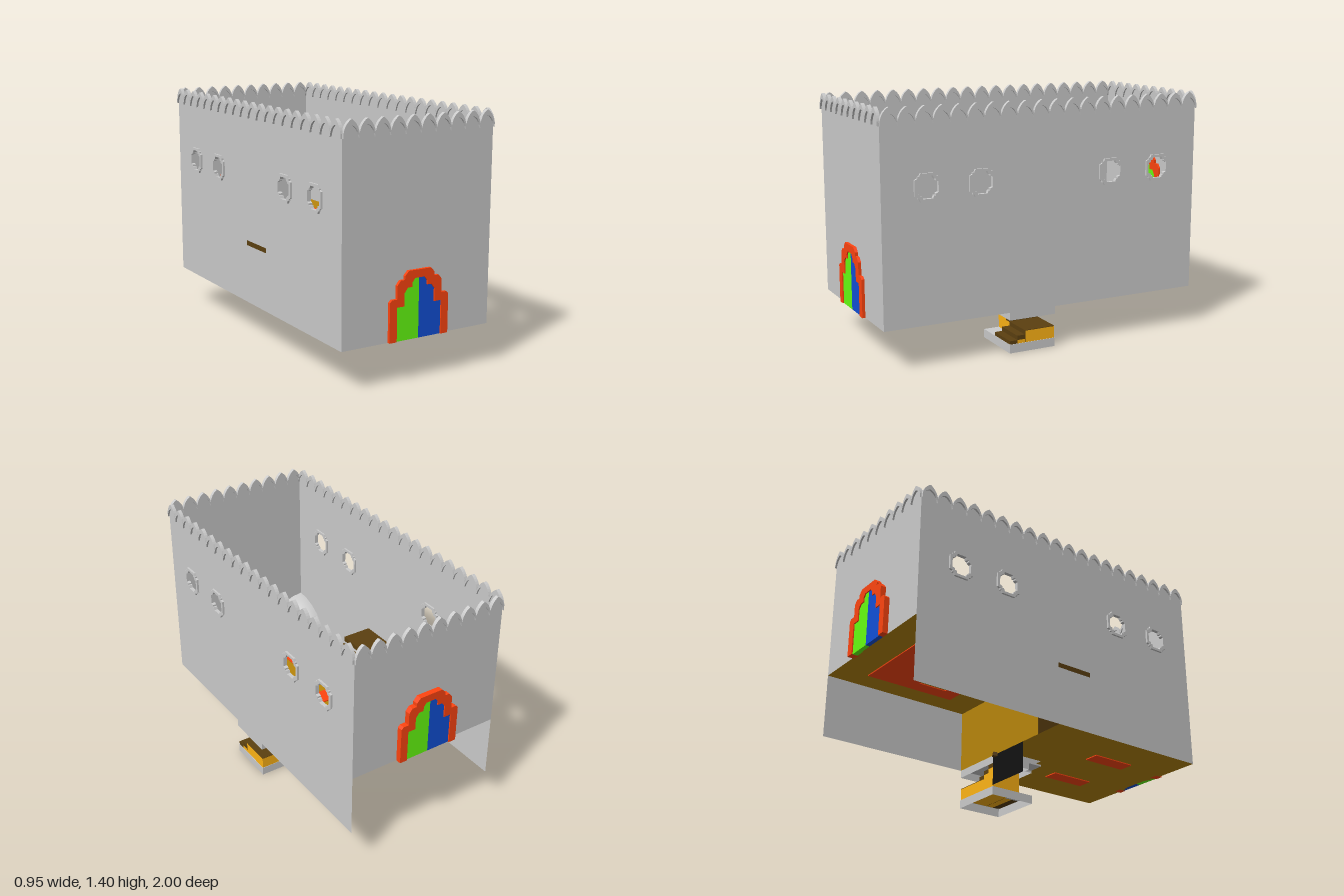
import * as THREE from 'three';

const mat = (color) => new THREE.MeshStandardMaterial({ color, side: THREE.DoubleSide });
const GREY = mat(0xcccccc), RED = mat(0xff4510), GREEN = mat(0x66ff11), BLUE = mat(0x1150d8);
const FLOOR = mat(0xb8860b), AMBER = mat(0xffb415), WOOD = mat(0x5c4010), BLACK = mat(0x111111);

// Main dimensions
const X = 0.465, ZF = 0.983, ZB = -0.968, LOW = 0.235, HIGH = 0.605, TOP = 1.335, SPLIT = -0.04;

export function createModel() {
  const model = new THREE.Group();

  const add = (name, geometry, material, parent = model) => {
    const mesh = new THREE.Mesh(geometry, material);
    mesh.name = name;
    parent.add(mesh);
    return mesh;
  };
  // Box given by its limits on each axis
  const box = (name, material, x0, x1, y0, y1, z0, z1, parent = model) => {
    const mesh = add(name, new THREE.BoxGeometry(x1 - x0, y1 - y0, z1 - z0), material, parent);
    mesh.position.set((x0 + x1) / 2, (y0 + y1) / 2, (z0 + z1) / 2);
    return mesh;
  };
  const shapeOf = (points) => new THREE.Shape(points.map(([x, y]) => new THREE.Vector2(x, y)));
  const extrude = (shape, depth) => new THREE.ExtrudeGeometry(shape, { depth, bevelEnabled: false, curveSegments: 6 });
  const rect = (x0, x1, y0, y1) => [[x0, y0], [x1, y0], [x1, y1], [x0, y1]];
  // Flat shape laid on the ground plane, drawn with (x, z)
  const lay = (name, points, holes, y, depth, material) => {
    const shape = shapeOf(points);
    shape.holes = holes.map(shapeOf);
    const geo = depth ? extrude(shape, depth) : new THREE.ShapeGeometry(shape);
    const mesh = add(name, geo.rotateX(Math.PI / 2), material);
    mesh.position.y = y;
    return mesh;
  };
  // Box without a bottom face
  const tray = (name, x0, x1, y0, y1, z0, z1) => {
    const mesh = box(name, GREY, x0, x1, y0, y1, z0, z1);
    const index = Array.from(mesh.geometry.index.array);
    index.splice(18, 6);
    mesh.geometry.setIndex(index);
    return mesh;
  };

  // Cross-shaped outline with notched, chamfered corners
  const cross = (cx, cy, r, n) => {
    const quarter = [[r, r - 2 * n], [r - n, r - 1.6 * n], [r - n, r - n], [r - 1.6 * n, r - n], [r - 2 * n, r]];
    const pts = [];
    for (let k = 0; k < 4; k++) {
      const c = [1, 0, -1, 0][k], s = [0, 1, 0, -1][k];
      quarter.forEach(([x, y]) => pts.push([cx + x * c - y * s, cy + x * s + y * c]));
    }
    return pts;
  };

  // Side walls with window holes and projecting frames
  const windows = [0.727, 0.413, -0.392, -0.706], WY = 0.978;
  for (const side of [1, -1]) {
    const wall = shapeOf(rect(-ZF, -ZB, LOW, TOP));
    wall.holes = windows.map((z) => shapeOf(cross(-z, WY, 0.06, 0.016)));
    const mesh = add(side > 0 ? 'rightSideWall' : 'leftSideWall', new THREE.ShapeGeometry(wall), GREY);
    mesh.rotation.y = Math.PI / 2;
    mesh.position.x = side * X;
    for (const z of windows) {
      const frame = shapeOf(cross(0, 0, 0.075, 0.016));
      frame.holes = [shapeOf(cross(0, 0, 0.06, 0.016))];
      const f = add('windowFrame', extrude(frame, 0.022).translate(0, 0, -0.011), GREY);
      f.rotation.y = Math.PI / 2;
      f.position.set(side * (X + 0.001), WY, z);
    }
  }

  // End walls; the back one stops at the upper floor
  const endWall = (name, z, y0) => {
    const mesh = add(name, new THREE.PlaneGeometry(2 * X, TOP - y0), GREY);
    mesh.position.set(0, (TOP + y0) / 2, z);
  };
  endWall('frontWall', ZF, LOW);
  endWall('backWall', ZB, HIGH);

  // Cresting: one pointed arch band repeated round the wall tops
  const crest = (count, length, x, z, turn) => {
    const group = new THREE.Group();
    group.name = 'cresting';
    const w = length / count, h = w / 2;
    const s = new THREE.Shape();
    s.moveTo(-h, 1.308);
    s.lineTo(-h, 1.332);
    s.quadraticCurveTo(-h * 0.8, 1.382, 0, 1.403);
    s.quadraticCurveTo(h * 0.8, 1.382, h, 1.332);
    s.lineTo(h, 1.308);
    s.quadraticCurveTo(h * 0.75, 1.362, 0, 1.372);
    s.quadraticCurveTo(-h * 0.75, 1.362, -h, 1.308);
    const fill = new THREE.Shape();
    fill.moveTo(-h, 1.33);
    fill.quadraticCurveTo(-h * 0.75, 1.375, 0, 1.39);
    fill.quadraticCurveTo(h * 0.75, 1.375, h, 1.33);
    const arch = extrude(s, 0.02).translate(0, 0, -0.009), infill = new THREE.ShapeGeometry(fill, 6);
    for (let i = 0; i < count; i++) {
      const px = (i + 0.5) * w - length / 2;
      add('crestArch', arch, GREY, group).position.x = px;
      add('crestInfill', infill, GREY, group).position.x = px;
    }
    group.position.set(x, 0, z);
    group.rotation.y = turn;
    model.add(group);
  };
  const midZ = (ZF + ZB) / 2;
  crest(10, 2 * X, 0, ZF, 0);
  crest(10, 2 * X, 0, ZB, Math.PI);
  crest(20, ZF - ZB, X, midZ, Math.PI / 2);
  crest(20, ZF - ZB, -X, midZ, -Math.PI / 2);

  // Stepped arch doors with two coloured leaves
  const outer = [[0.185, 0], [0.185, 0.215], [0.172, 0.228], [0.14, 0.228], [0.14, 0.3], [0.12, 0.325],
    [0.093, 0.325], [0.093, 0.345], [0.07, 0.37]];
  const inner = [[0.14, 0], [0.14, 0.185], [0.095, 0.185], [0.095, 0.255], [0.075, 0.282],
    [0.047, 0.282], [0.047, 0.305], [0.03, 0.327]];
  const flip = (pts) => pts.map(([x, y]) => [-x, y]).reverse();
  const door = (name, y, z, turn) => {
    const group = new THREE.Group();
    group.name = name;
    const arch = shapeOf([...outer, ...flip(outer), ...inner.map(([x, h]) => [-x, h]), ...inner.slice().reverse()]);
    add('doorArch', extrude(arch, 0.045), RED, group);
    const leaf = [[0, 0], ...inner, [0, 0.327]];
    add('blueLeaf', extrude(shapeOf(leaf), 0.03), BLUE, group).position.z = 0.008;
    add('greenLeaf', extrude(shapeOf(flip(leaf)), 0.03), GREEN, group).position.z = 0.008;
    group.position.set(0, y, z);
    group.rotation.y = turn;
    model.add(group);
  };
  door('frontDoor', LOW, 0.955, 0);
  door('backDoor', HIGH, -0.955, Math.PI);

  // Floors and the riser between them
  lay('lowerFloor', [[-X, SPLIT], [0.045, SPLIT], [0.045, 0.24], [X, 0.24], [X, ZF], [-X, ZF]], [], LOW, 0, FLOOR);
  lay('upperFloor', rect(-X, X, ZB, SPLIT), [], HIGH, 0, FLOOR);
  const riser = add('floorRiser', new THREE.PlaneGeometry(X + 0.28, HIGH - LOW), FLOOR);
  riser.position.set((X - 0.28) / 2, (HIGH + LOW) / 2, SPLIT);

  // Carpets
  for (const x of [-0.19, 0.185]) box('lowerCarpet', RED, x - 0.045, x + 0.045, 0.229, 0.241, 0.425, 0.7);
  lay('upperCarpet', [[-0.325, -0.79], [0.32, -0.79], [0.32, -0.23], [-0.05, -0.23], [-0.05, -0.325],
    [0.23, -0.325], [0.23, -0.505], [-0.325, -0.505]], [], HIGH + 0.006, 0.012, RED);

  // Inner stair climbing to the landing beside the wall
  const steps = 7, run = 0.32 / steps, rise = (HIGH - LOW) / (steps + 1);
  for (let i = 0; i < steps; i++) {
    const x1 = 0.04 - i * run;
    box('innerStep', WOOD, x1 - run, x1, LOW + 0.001, LOW + (i + 1) * rise, SPLIT + 0.002, 0.19);
  }
  box('innerLanding', WOOD, -X - 0.001, -0.28, HIGH - 0.03, HIGH - 0.002, SPLIT + 0.001, 0.19);

  // Rubble heaped in the corners
  const rubble = (x, z, sx, sy, sz) => {
    const geo = new THREE.SphereGeometry(1, 9, 6, Math.PI / 2, Math.PI / 2, 0, Math.PI / 2);
    const p = geo.attributes.position;
    for (let i = 0; i < p.count; i++) {
      const a = Math.atan2(p.getZ(i), p.getX(i));
      const k = 1 + 0.1 * Math.sin(2 * a) + 0.06 * Math.sin(5 * a) * (1 - p.getY(i));
      p.setXYZ(i, p.getX(i) * k, p.getY(i), p.getZ(i) * k);
    }
    geo.computeVertexNormals();
    const mesh = add('rubble', geo, GREY);
    mesh.position.set(x, LOW, z);
    mesh.scale.set(sx, sy, sz);
  };
  rubble(-X, 0.19, 0.32, 0.2, 0.18);
  rubble(-X, ZF, 0.25, 0.25, -0.28);
  rubble(X, ZF, -0.28, 0.25, -0.33);

  // Hidden passage: dark entrance, hatch slabs and lever
  const dark = add('passageEntrance', new THREE.PlaneGeometry(0.285, 0.178), BLACK);
  dark.position.set(-0.0025, 0.146, SPLIT);
  tray('hatchSlab', 0.14, X, 0.19, LOW, SPLIT, 0.245);
  tray('sunkenSlab', 0.045, 0.14, 0.165, 0.205, SPLIT + 0.002, 0.15);
  box('sunkenLid', GREY, 0.045, 0.14, 0.203, 0.213, SPLIT + 0.002, 0.24);
  const lever = add('lever', new THREE.BoxGeometry(0.03, 0.022, 0.13), WOOD);
  lever.position.set(0.092, 0.226, 0.002);
  lever.rotation.set(0.1, -0.4, 0, 'YXZ');

  // Lower stair: three steps along x, a landing, then two steps forward
  tray('stairPad', 0.14, X, 0, 0.05, SPLIT, 0.245);
  const z0 = SPLIT + 0.002, zl = 0.15;
  for (let i = 0; i < 3; i++) {
    const x0 = 0.14 + i * 0.045, y = 0.19 - i * 0.0245;
    box('stairBase', AMBER, x0, x0 + 0.045, 0.05, y - 0.0245, z0, zl);
    box('stairTread', WOOD, x0, x0 + 0.045, y - 0.0245, y, z0, zl);
  }
  box('landingBase', AMBER, 0.275, X - 0.003, 0.05, 0.117, z0, zl - 0.003);
  box('landingTop', WOOD, 0.275, X - 0.003, 0.117, 0.12, z0, zl);
  box('landingFront', WOOD, 0.275, X - 0.003, 0.05, 0.117, zl - 0.003, zl);
  box('frontStepBase', AMBER, 0.275, X - 0.003, 0.05, 0.07, zl, 0.197);
  box('frontStepUpper', WOOD, 0.275, X - 0.003, 0.07, 0.095, zl, 0.197);
  box('frontStepLower', WOOD, 0.275, X - 0.003, 0.05, 0.07, 0.197, 0.243);

  return model;
}
